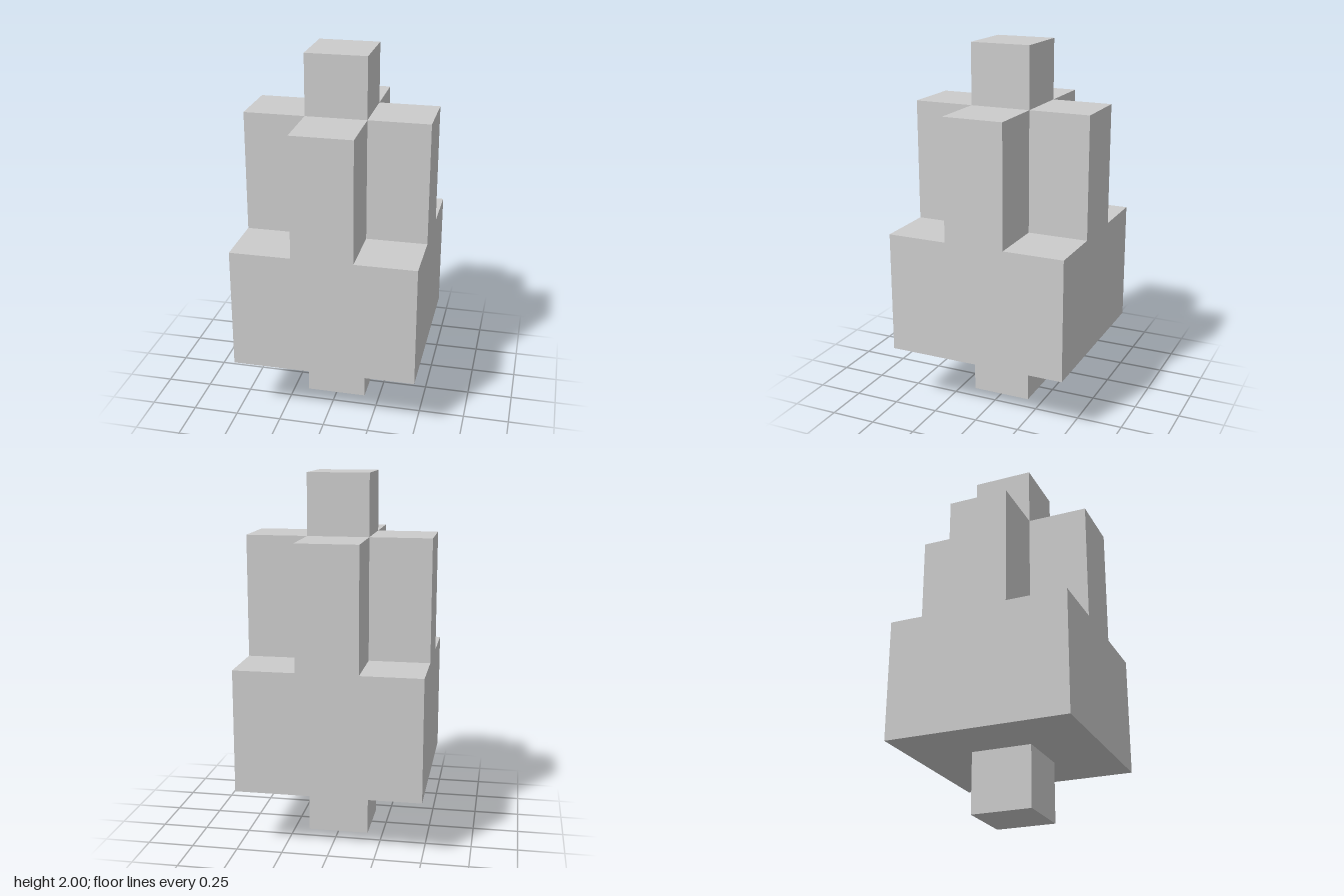
import * as THREE from 'three';

const U = 1 / 3; // module: every dimension is a multiple of this
const material = new THREE.MeshStandardMaterial({ color: 0xcccccc, flatShading: true });

function addPart(group, name, geometry) {
  const mesh = new THREE.Mesh(geometry, material);
  mesh.name = name;
  group.add(mesh);
}

// Square block of the given width between two heights
function block(width, y0, y1) {
  return new THREE.BoxGeometry(width, y1 - y0, width).translate(0, (y0 + y1) / 2, 0);
}

// Plus-shaped prism between two heights
function crossPrism(outer, inner, y0, y1) {
  const points = [];
  for (let i = 0; i < 4; i++) {
    for (const [x, y] of [[outer, -inner], [outer, inner], [inner, inner]]) {
      points.push(new THREE.Vector2(x, y).rotateAround(new THREE.Vector2(), i * Math.PI / 2));
    }
  }
  return new THREE.ExtrudeGeometry(new THREE.Shape(points), { depth: y1 - y0, bevelEnabled: false })
    .rotateX(-Math.PI / 2)
    .translate(0, y0, 0);
}

export function createModel() {
  const model = new THREE.Group();
  model.name = 'steppedBlock';
  addPart(model, 'bottomPost', block(U, 0, U));
  addPart(model, 'body', block(3 * U, U, 3 * U));
  addPart(model, 'crossTier', crossPrism(1.5 * U, 0.5 * U, 3 * U, 5 * U));
  addPart(model, 'topPost', block(U, 5 * U, 6 * U));
  return model;
}
